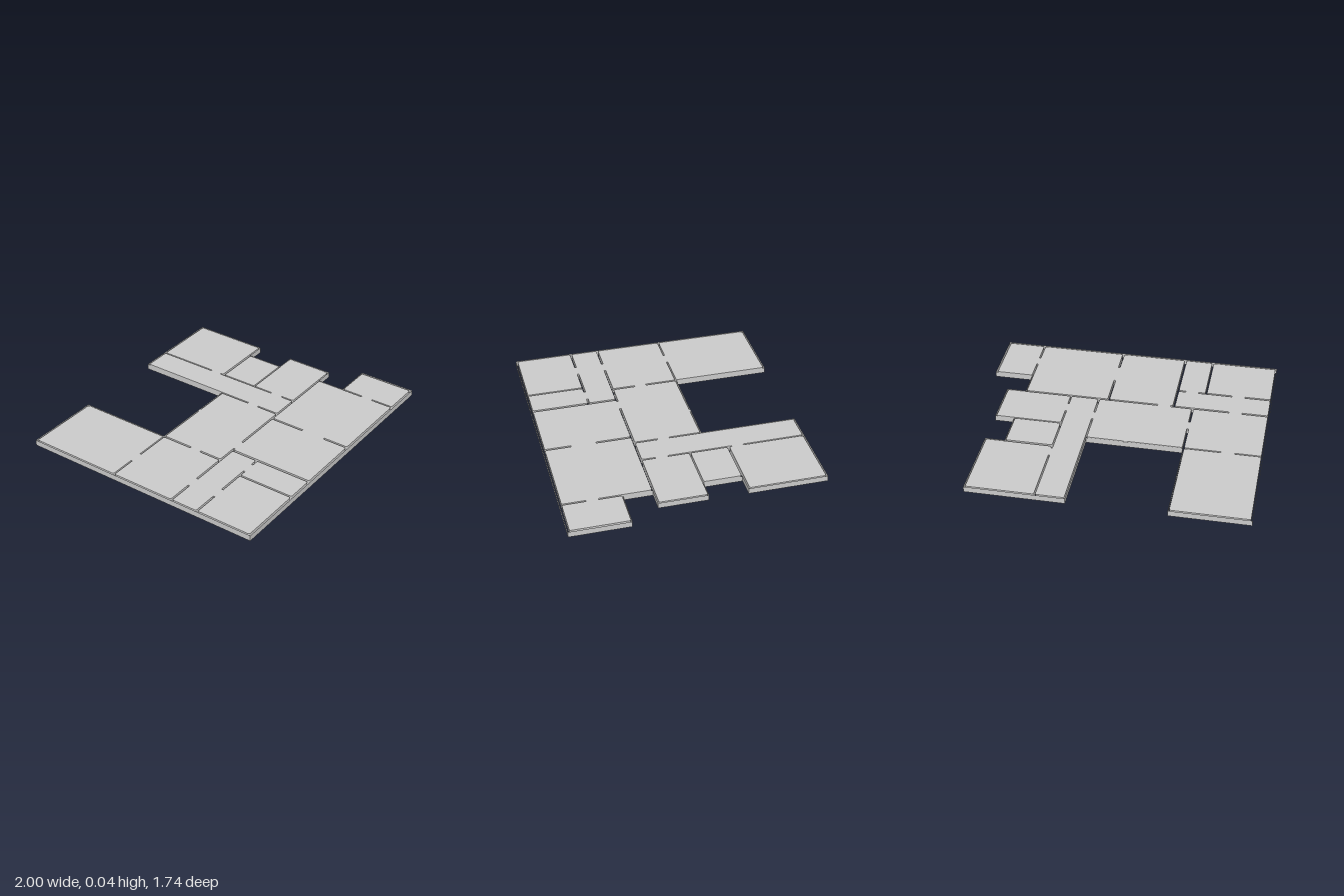
import * as THREE from 'three';

const HEIGHT = 0.04;
const grey = new THREE.MeshStandardMaterial({ color: 0xcccccc });
const thinGrey = new THREE.MeshStandardMaterial({ color: 0xcccccc, side: THREE.DoubleSide });

// Flat slab with rounded plan corners, standing on y = 0
function roomSlab(name, x0, x1, z0, z1, r = 0.012) {
  const s = new THREE.Shape();
  const y0 = -z1, y1 = -z0;
  s.moveTo(x0 + r, y0);
  s.lineTo(x1 - r, y0);
  s.absarc(x1 - r, y0 + r, r, -Math.PI / 2, 0, false);
  s.absarc(x1 - r, y1 - r, r, 0, Math.PI / 2, false);
  s.absarc(x0 + r, y1 - r, r, Math.PI / 2, Math.PI, false);
  s.absarc(x0 + r, y0 + r, r, Math.PI, Math.PI * 1.5, false);
  const geo = new THREE.ExtrudeGeometry(s, { depth: HEIGHT, bevelEnabled: false, curveSegments: 3 });
  geo.rotateX(-Math.PI / 2);
  const mesh = new THREE.Mesh(geo, grey);
  mesh.name = name;
  return mesh;
}

// Small block that fills the gap between two rooms
function doorway(x0, x1, z0, z1) {
  const mesh = new THREE.Mesh(new THREE.BoxGeometry(x1 - x0, HEIGHT, z1 - z0), grey);
  mesh.position.set((x0 + x1) / 2, HEIGHT / 2, (z0 + z1) / 2);
  mesh.name = 'doorway';
  return mesh;
}

// Thin upright wall following a closed plan outline, open above and below
function outerWall(points) {
  const pos = [];
  points.forEach(([ax, az], i) => {
    const [bx, bz] = points[(i + 1) % points.length];
    pos.push(ax, 0, az, ax, HEIGHT, az, bx, HEIGHT, bz);
    pos.push(ax, 0, az, bx, HEIGHT, bz, bx, 0, bz);
  });
  const geo = new THREE.BufferGeometry();
  geo.setAttribute('position', new THREE.Float32BufferAttribute(pos, 3));
  geo.computeVertexNormals();
  const mesh = new THREE.Mesh(geo, thinGrey);
  mesh.name = 'outerWall';
  return mesh;
}

export function createModel() {
  const model = new THREE.Group();
  model.name = 'floorPlan';

  // Rooms: name, x from, x to, z from, z to
  const rooms = [
    ['backRightRoom', -0.99, -0.473, -0.86, -0.207],
    ['middleRightRoom', -0.99, -0.473, -0.197, 0.257],
    ['hall', -0.46, 0.192, -0.197, 0.257],
    ['corridor', 0.203, 0.392, -0.86, 0.257],
    ['backLeftRoom', 0.402, 0.855, -0.86, -0.342],
    ['smallLeftRoom', 0.402, 0.722, -0.327, -0.074],
    ['middleLeftRoom', 0.402, 0.855, -0.064, 0.257],
    ['frontPassage', -0.99, -0.34, 0.27, 0.455],
    ['frontRightRoom', -0.99, -0.54, 0.468, 0.857],
    ['closet', -0.528, -0.34, 0.468, 0.857],
    ['frontMiddleRoom', -0.325, 0.125, 0.27, 0.857],
    ['frontLeftRoom', 0.138, 0.722, 0.27, 0.857],
    ['annex', 0.733, 0.987, 0.468, 0.857],
  ];
  rooms.forEach((r) => model.add(roomSlab(...r)));

  // Doorways: x from, x to, z from, z to
  const doors = [
    [-0.81, -0.72, -0.207, -0.197],
    [-0.81, -0.72, 0.257, 0.27],
    [-0.81, -0.72, 0.455, 0.468],
    [-0.48, -0.39, 0.455, 0.468],
    [-0.31, -0.22, 0.257, 0.27],
    [-0.473, -0.46, -0.02 + 0.04, 0.1],
    [0.192, 0.203, 0.02, 0.1],
    [0.392, 0.402, -0.44, -0.36],
    [0.392, 0.402, 0.08, 0.165],
    [0.125, 0.138, 0.51, 0.68],
    [0.722, 0.733, 0.62, 0.7],
    [-0.09, -0.06, -0.206, -0.197],
  ];
  doors.forEach((d) => model.add(doorway(...d)));

  // Outline of the whole plan, just outside the rooms
  model.add(outerWall([
    [-1, -0.87], [-0.465, -0.87], [-0.465, -0.206], [0.196, -0.206],
    [0.196, -0.87], [0.864, -0.87], [0.864, -0.333], [0.729, -0.333],
    [0.729, -0.069], [0.864, -0.069], [0.864, 0.265], [0.729, 0.265],
    [0.729, 0.462], [1, 0.462], [1, 0.87], [-1, 0.87],
  ]));
  return model;
}
